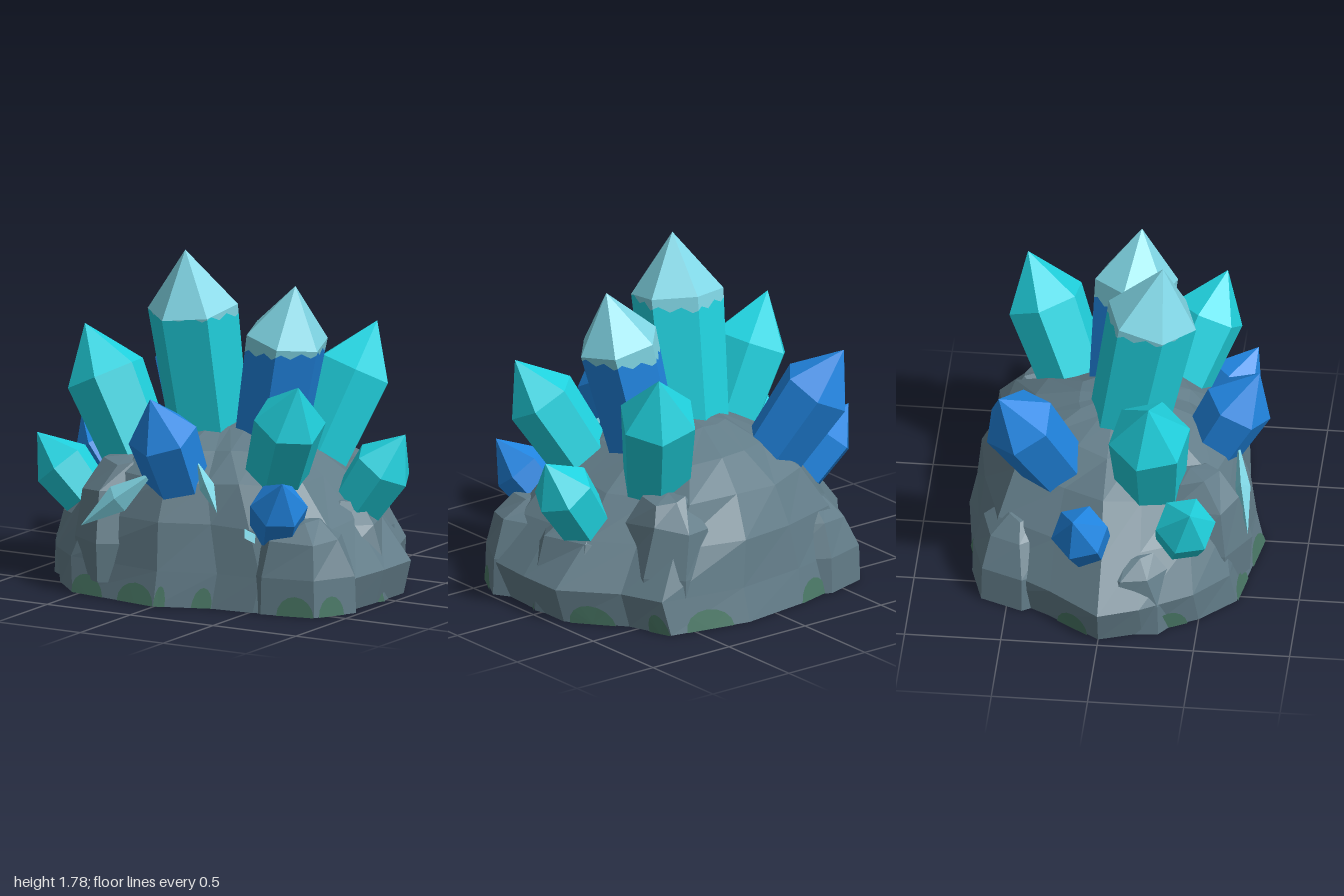
import * as THREE from 'three';

const mat = (name, color) => Object.assign(new THREE.MeshStandardMaterial({ color }), { name });
const V = (x, y, z) => new THREE.Vector3(x, y, z);

// Seeded random in the range -1..1
function seeded(seed) {
  return () => {
    seed = (seed * 16807) % 2147483647;
    return (seed / 2147483647) * 2 - 1;
  };
}

// Faceted mesh from a list of corner points, three per triangle
function facets(name, points, material) {
  const g = new THREE.BufferGeometry().setFromPoints(points);
  g.computeVertexNormals();
  const mesh = new THREE.Mesh(g, material);
  mesh.name = name;
  return mesh;
}
const quad = (out, a, b, c, d) => out.push(a, b, c, a, c, d);

// Six-sided crystal from base point to tip; above height "frost" it takes the frost colour
function crystal(name, base, tip, r, spin, material, frostMat, frost) {
  const group = new THREE.Group();
  group.name = name;
  const from = V(...base), end = V(...tip);
  const axis = end.clone().sub(from);
  const length = axis.length();
  const turn = new THREE.Quaternion().setFromUnitVectors(V(0, 1, 0), axis.normalize());
  const corner = (i, radius, h) => {
    const a = spin + (i * Math.PI) / 3;
    return V(Math.sin(a) * radius, h, Math.cos(a) * radius).applyQuaternion(turn).add(from);
  };
  const body = [], cap = [];
  const top = frost ? cap : body;
  const columns = frost ? 8 : 1;
  for (let i = 0; i < 6; i++) {
    const b0 = corner(i, r * 0.85, 0), b1 = corner(i + 1, r * 0.85, 0);
    const s0 = corner(i, r, length - r * 1.3), s1 = corner(i + 1, r, length - r * 1.3);
    const column = (j) => {
      const b = b0.clone().lerp(b1, j / columns), s = s0.clone().lerp(s1, j / columns);
      const level = frost ? frost + 0.014 * Math.sin((j / columns) * Math.PI * 4) : 9;
      const t = THREE.MathUtils.clamp((level - b.y) / (s.y - b.y), 0, 1);
      return [b, b.clone().lerp(s, t), s];
    };
    for (let j = 0; j < columns; j++) {
      const p = column(j), q = column(j + 1);
      quad(body, p[0], q[0], q[1], p[1]);
      if (frost) quad(cap, p[1], q[1], q[2], p[2]);
    }
    top.push(s0, s1, end);
    body.push(from, b1, b0);
  }
  group.add(facets('crystalBody', body, material));
  if (frost) group.add(facets('frostedTip', cap, frostMat));
  return group;
}

// Rock lofted through rings [height, x scale, z scale] of a footprint.
// Moss patches are given as [wall index, start, end] along the foot.
function rock(name, footprint, cx, cz, rings, rough, seed, mats, patches) {
  const group = new THREE.Group();
  group.name = name;
  const rnd = seeded(seed);
  const n = footprint.length;
  const loops = rings.map(([y, sx, sz], k) => footprint.map(([x, z]) => {
    const j = k > 1 ? rough : 0;
    return V(cx + x * sx + rnd() * j, y + rnd() * j * 0.6, cz + z * sz + rnd() * j);
  }));
  const stone = [], under = [], moss = [];
  const last = loops.length - 1;
  const peak = V(cx, rings[last][0] + 0.02, cz), floor = V(cx, rings[0][0], cz);
  for (let i = 0; i < n; i++) {
    const m = (i + 1) % n;
    for (let k = 0; k < last; k++) {
      quad(stone, loops[k][i], loops[k][m], loops[k + 1][m], loops[k + 1][i]);
    }
    stone.push(loops[last][i], loops[last][m], peak);
    under.push(floor, loops[0][m], loops[0][i]);
  }
  group.add(facets('stone', stone, mats.stone), facets('underside', under, mats.under));

  // Half-round moss patches
  for (const [i, u0, u1] of patches) {
    const m = (i + 1) % n;
    const [a, b, c, d] = [loops[0][i], loops[0][m], loops[1][m], loops[1][i]];
    const out = b.clone().sub(a).cross(d.clone().sub(a)).setLength(0.007);
    const height = 0.105 / rings[1][0];
    const at = (u, v) => a.clone().lerp(b, u).lerp(d.clone().lerp(c, u), v).add(out);
    const mid = (u0 + u1) / 2, half = (u1 - u0) / 2;
    const rim = (k) => at(mid + half * Math.cos((Math.PI * k) / 8), height * Math.sin((Math.PI * k) / 8));
    for (let k = 0; k < 8; k++) moss.push(at(mid, 0), rim(k), rim(k + 1));
  }
  if (moss.length) group.add(facets('moss', moss, mats.moss));
  return group;
}

export function createModel() {
  const mats = {
    stone: mat('stone grey', 0x627c88),
    under: mat('mossy underside', 0x567a74),
    moss: mat('moss green', 0x4a7866),
  };
  const teal = mat('teal crystal', 0x20d2df);
  const blue = mat('blue crystal', 0x2186e2);
  const pale = mat('pale frost', 0x80d6e5);
  const model = new THREE.Group();
  model.name = 'crystalCluster';

  // Main mound
  const outline = [
    [0, 0.77], [0.3, 0.66], [0.55, 0.64], [0.88, 0.52], [0.97, 0.37], [0.99, 0.1], [0.99, -0.18],
    [0.76, -0.45], [0.67, -0.69], [0.2, -0.78], [-0.2, -0.73], [-0.6, -0.63], [-0.8, -0.28],
    [-1, 0], [-0.92, 0.22], [-0.76, 0.5], [-0.57, 0.68],
  ];
  const mound = [
    [0, 0.95, 1], [0.18, 1, 0.95], [0.42, 0.82, 0.9], [0.63, 0.62, 0.79], [0.77, 0.42, 0.55], [0.86, 0.22, 0.25],
  ];
  const moundMoss = [
    [16, 0, 0.38], [16, 0.56, 1], [0, 0, 0.2], [0, 0.65, 1], [6, 0.1, 0.8], [7, 0.5, 1],
    [8, 0.2, 0.8], [10, 0, 0.5], [12, 0.2, 0.8], [14, 0.2, 0.8],
  ];
  model.add(rock('mound', outline, 0, 0, mound, 0.018, 11, mats, moundMoss));

  // Boulders around the mound: name, x, z, x radius, z radius, foot, height, moss
  const boulders = [
    ['frontLeftBoulder', -0.36, 0.42, 0.26, 0.33, 0.08, 0.68, []],
    ['frontRightBoulder', 0.64, 0.37, 0.34, 0.28, 0, 0.46, [[5, 0, 0.8], [6, 0.3, 1], [0, 0.1, 0.7]]],
    ['rightBoulder', 0.67, -0.02, 0.29, 0.36, 0, 0.5, [[6, 0, 1]]],
    ['backLeftBoulder', -0.45, -0.44, 0.29, 0.27, 0, 0.45, []],
    ['backRightBoulder', 0.45, -0.43, 0.25, 0.27, 0, 0.65, []],
    ['leftBoulder', -0.69, 0.15, 0.22, 0.28, 0, 0.4, []],
  ];
  boulders.forEach(([name, x, z, rx, rz, foot, h, moss], k) => {
    const ring = Array.from({ length: 7 }, (_, i) => {
      const a = (i / 7) * Math.PI * 2 + k * 0.7;
      return [Math.sin(a) * rx, Math.cos(a) * rz];
    });
    const s = foot ? 0.94 : 1;
    const levels = [[foot, s, s], [h * 0.42, 0.98, 0.98], [h * 0.8, 0.76, 0.76], [h, 0.42, 0.42]];
    model.add(rock(name, ring, x, z, levels, 0.03, 50 + k * 37, mats, moss));
  });

  // Crystals: name, base, tip, radius, spin, colour, frost height
  const crystals = [
    ['mainCrystal', [-0.07, 0.6, 0.04], [-0.115, 1.78, 0.255], 0.24, -0.2, teal, 1.445],
    ['tallBlueCrystal', [0.22, 0.6, 0.01], [0.45, 1.62, 0.09], 0.22, 0.3, blue, 1.27],
    ['leftCrystal', [-0.39, 0.6, 0.22], [-0.73, 1.32, 0.24], 0.215, 0.3, teal],
    ['backRightCrystal', [0.35, 0.55, -0.2], [0.58, 1.34, -0.515], 0.21, 0.5, teal],
    ['frontRightCrystal', [0.4, 0.55, 0.24], [0.72, 1.19, 0.51], 0.19, 0.2, teal],
    ['frontBlueCrystal', [0.0, 0.45, 0.42], [-0.03, 1.09, 0.75], 0.182, 0, blue],
    ['backLeftBlueCrystal', [-0.31, 0.6, -0.26], [-0.61, 1.25, -0.55], 0.195, 0.4, blue],
    ['smallFrontLeftCrystal', [-0.62, 0.45, 0.4], [-0.88, 0.77, 0.47], 0.158, 0.3, teal],
    ['smallLeftBlueCrystal', [-0.7, 0.42, -0.08], [-0.97, 0.75, -0.13], 0.15, 0.2, blue],
    ['smallRightCrystal', [0.67, 0.39, -0.07], [1.0, 0.86, -0.1], 0.165, 0.5, teal],
    ['smallFrontBlueCrystal', [0.52, 0.35, 0.42], [0.72, 0.71, 0.67], 0.15, 0.1, blue],
  ];
  for (const [name, base, tip, r, spin, material, frost] of crystals) {
    model.add(crystal(name, base, tip, r, spin, material, pale, frost));
  }

  // Thin pale shards lying against the front of the rock
  const shards = [
    [[-0.46, 0.37, 0.73], [-0.07, 0.68, 0.64], 0.075],
    [[0.12, 0.74, 0.53], [0.32, 0.51, 0.66], 0.06],
    [[0.45, 0.43, 0.6], [0.52, 0.36, 0.61], 0.025],
  ];
  for (const [from, to, width] of shards) {
    const a = V(...from), b = V(...to), axis = b.clone().sub(a);
    const shard = new THREE.Mesh(new THREE.OctahedronGeometry(1), pale);
    shard.name = 'shard';
    shard.scale.set(width, axis.length() / 2, 0.04);
    shard.position.copy(a).add(b).multiplyScalar(0.5);
    shard.quaternion.setFromUnitVectors(V(0, 1, 0), axis.normalize());
    model.add(shard);
  }
  return model;
}
